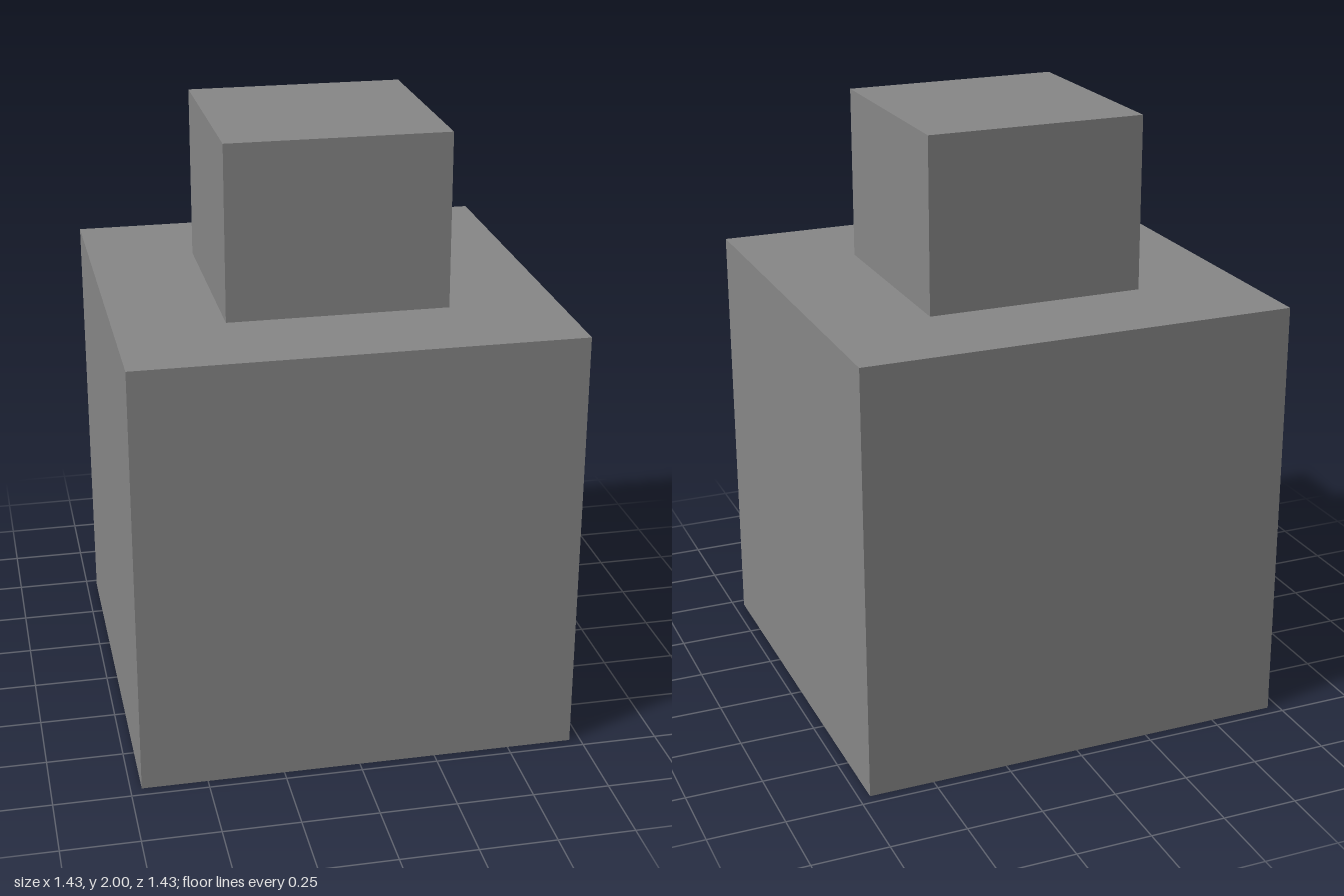
import * as THREE from 'three';

export function createModel() {
  const group = new THREE.Group();
  const material = new THREE.MeshStandardMaterial({ color: 0x888888, flatShading: true });

  // Square block of the given width, standing between two heights
  function addBlock(name, width, bottom, top) {
    const mesh = new THREE.Mesh(new THREE.BoxGeometry(width, top - bottom, width), material);
    mesh.name = name;
    mesh.position.y = (bottom + top) / 2;
    group.add(mesh);
  }

  addBlock('body', 1.428, 0, 1.428);
  addBlock('neck', 0.72, 1.428, 2);

  return group;
}
